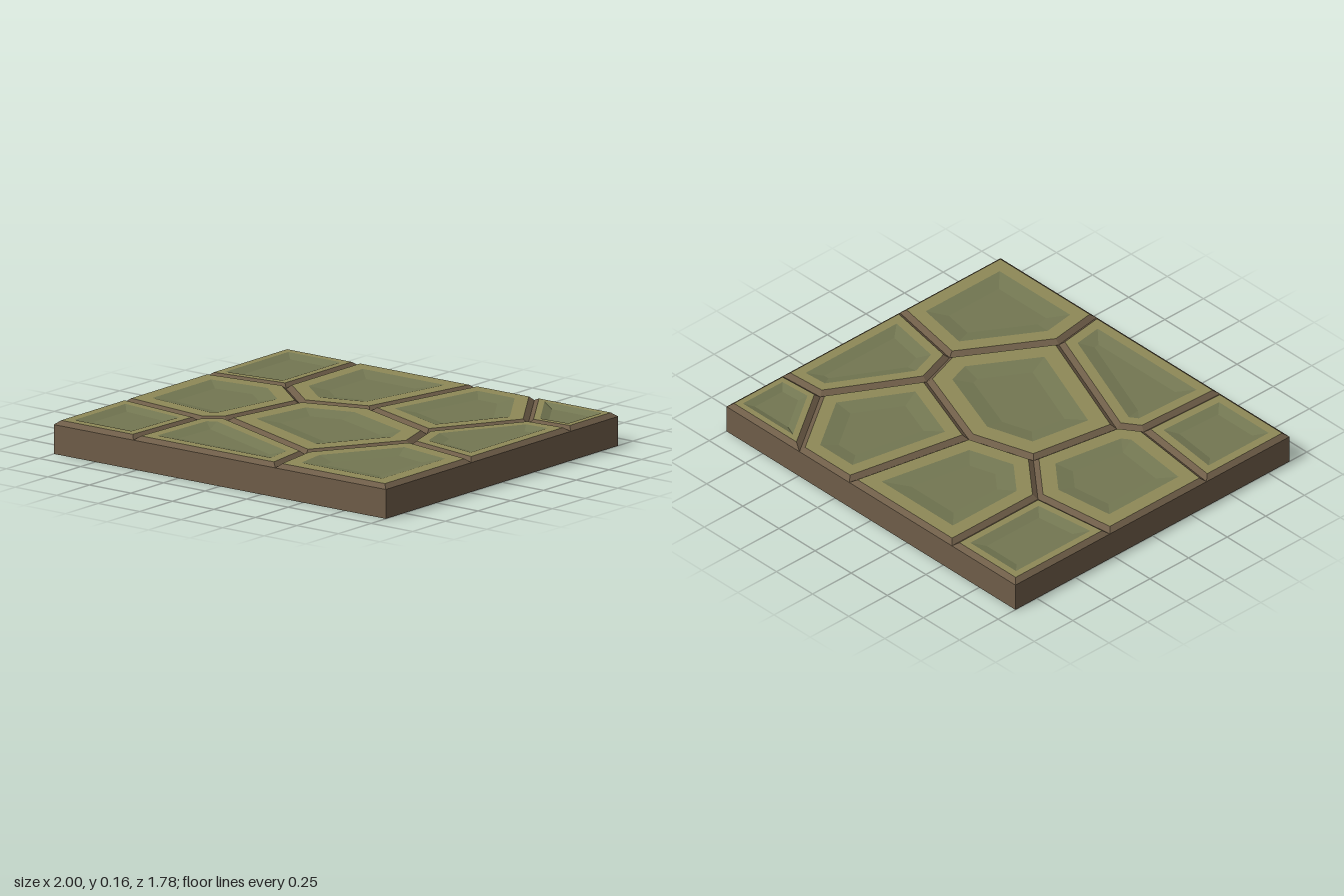
import * as THREE from 'three';

const HALF_Z = 0.888, SLAB_Y = 0.143, RIM_Y = 0.163, DISH_Y = 0.146;

const brown = new THREE.MeshStandardMaterial({ color: 0x6e5d48, flatShading: true });
const olive = new THREE.MeshStandardMaterial({ color: 0x8e8957, flatShading: true });
const green = new THREE.MeshStandardMaterial({ color: 0x737752, flatShading: true });

// Corners where the joints between stones meet: [x, z]
const P = {
  backLeft: [-1, -HALF_Z], backRight: [1, -HALF_Z], frontRight: [1, HALF_Z], frontLeft: [-1, HALF_Z],
  A: [-1, -0.275], B: [-0.56, -0.33], C: [-0.56, -HALF_Z], D: [-0.315, -0.13],
  E: [0.02, -0.235], F: [0.15, -HALF_Z], G: [0.5, -0.06], H: [0.755, -0.51],
  I: [0.495, -HALF_Z], J: [1, -0.525], K: [0.57, 0.155], L: [1, 0.235],
  M: [0.295, 0.605], N: [0.335, HALF_Z], O: [-0.395, 0.335], Q: [-0.5, 0.41],
  R: [-0.52, HALF_Z], S: [-1, 0.35],
};

// Each stone: its outline (clockwise from above), inset of the dish, width of the dish wall
const STONES = [
  ['backLeft C B A', 0.062, 0.055],
  ['C F E D B', 0.098, 0.09],
  ['F I H G E', 0.09, 0.08],
  ['I backRight J H', 0.055, 0.04],
  ['H J L K G', 0.075, 0.06],
  ['E G K M O D', 0.11, 0.09],
  ['A B D O Q S', 0.1, 0.08],
  ['S Q R frontLeft', 0.07, 0.055],
  ['Q O M N R', 0.078, 0.07],
  ['M K L frontRight N', 0.095, 0.085],
];

// Crossing point of two lines given as { p, d }
function cross(a, b) {
  const det = a.d[0] * b.d[1] - a.d[1] * b.d[0];
  const t = ((b.p[0] - a.p[0]) * b.d[1] - (b.p[1] - a.p[1]) * b.d[0]) / det;
  return [a.p[0] + a.d[0] * t, a.p[1] + a.d[1] * t];
}

// Moves every edge inward by dist; an edge that vanishes shrinks to a point
function inset(loop, dist) {
  const n = loop.length;
  const lines = loop.map((p, i) => {
    const q = loop[(i + 1) % n];
    const len = Math.hypot(q[0] - p[0], q[1] - p[1]);
    const d = [(q[0] - p[0]) / len, (q[1] - p[1]) / len];
    return { p: [p[0] - d[1] * dist, p[1] + d[0] * dist], d };
  });
  const out = lines.map((l, i) => cross(lines[(i + n - 1) % n], l));
  lines.forEach((l, i) => {
    const j = (i + 1) % n;
    const along = (out[j][0] - out[i][0]) * l.d[0] + (out[j][1] - out[i][1]) * l.d[1];
    if (along < 0) out[i] = out[j] = cross(lines[(i + n - 1) % n], lines[j]);
  });
  return out;
}

const at = (p, y) => [p[0], y, p[1]];

// Band of faces from an outer loop to an inner one
function band(outer, y0, inner, y1) {
  const v = [];
  outer.forEach((a, i) => {
    const j = (i + 1) % outer.length;
    v.push(...at(a, y0), ...at(inner[i], y1), ...at(inner[j], y1));
    v.push(...at(a, y0), ...at(inner[j], y1), ...at(outer[j], y0));
  });
  return v;
}

// Flat face filling a loop
function cap(loop, y) {
  const c = [0, 1].map(k => loop.reduce((s, p) => s + p[k], 0) / loop.length);
  return loop.flatMap((p, i) => [...at(c, y), ...at(loop[(i + 1) % loop.length], y), ...at(p, y)]);
}

function part(name, vertices, material) {
  const geo = new THREE.BufferGeometry();
  geo.setAttribute('position', new THREE.Float32BufferAttribute(vertices, 3));
  geo.computeVertexNormals();
  const mesh = new THREE.Mesh(geo, material);
  mesh.name = name;
  return mesh;
}

function makeStone([corners, dishInset, wall]) {
  const outline = corners.split(' ').map(k => P[k]);
  const edge = inset(outline, 0.025);
  const dish = inset(outline, dishInset);
  const floor = inset(outline, dishInset + wall);
  const stone = new THREE.Group();
  stone.name = 'stone';
  stone.add(
    part('stoneBevel', band(outline, SLAB_Y, edge, RIM_Y), brown),
    part('stoneRim', band(edge, RIM_Y, dish, RIM_Y), olive),
    part('stoneDish', [...band(dish, RIM_Y, floor, DISH_Y), ...cap(floor, DISH_Y)], green),
  );
  return stone;
}

export function createModel() {
  const model = new THREE.Group();
  model.name = 'pavedFloorTile';

  // Solid slab under the paving; the stones close its top
  const slab = new THREE.Mesh(new THREE.BoxGeometry(2, SLAB_Y, HALF_Z * 2), brown);
  slab.name = 'slab';
  slab.position.y = SLAB_Y / 2;
  model.add(slab);

  // Irregular paving stones with V-shaped joints between them
  STONES.forEach(s => model.add(makeStone(s)));
  return model;
}
